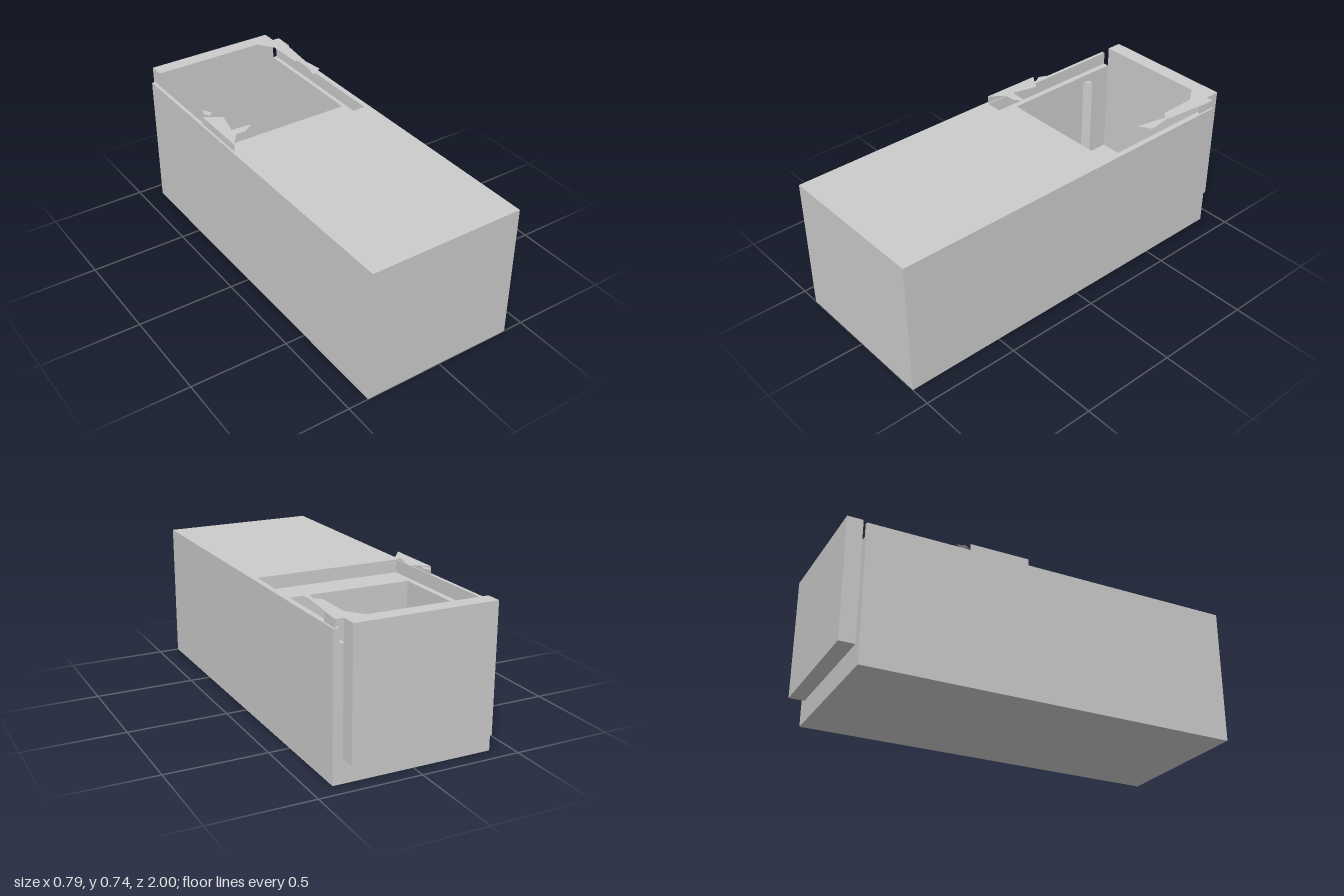
import * as THREE from 'three';

export function createModel() {
  const model = new THREE.Group();
  const solid = new THREE.MeshStandardMaterial({ color: 0xcccccc, flatShading: true });
  const sheet = new THREE.MeshStandardMaterial({ color: 0xcccccc, flatShading: true, side: THREE.DoubleSide });

  const add = (name, geometry, material = solid) => {
    const mesh = new THREE.Mesh(geometry, material);
    mesh.name = name;
    model.add(mesh);
    return mesh;
  };

  // Outline given as [x, z] pairs on the ground plane
  const plan = (points) => new THREE.Shape(points.map(([x, z]) => new THREE.Vector2(x, -z)));

  // Upright prism between two heights
  const prism = (name, points, y0, y1) => {
    const g = new THREE.ExtrudeGeometry(plan(points), { depth: y1 - y0, bevelEnabled: false });
    return add(name, g.rotateX(-Math.PI / 2).translate(0, y0, 0));
  };

  // Flat, thin piece at one height
  const flat = (name, points, y) =>
    add(name, new THREE.ShapeGeometry(plan(points)).rotateX(-Math.PI / 2).translate(0, y, 0), sheet);

  // Thin upright strip running along z
  const strip = (name, x, y0, y1, z0, z1) =>
    add(name, new THREE.PlaneGeometry(z1 - z0, y1 - y0).rotateY(Math.PI / 2)
      .translate(x, (y0 + y1) / 2, (z0 + z1) / 2), sheet);

  const L = -0.398, R = 0.395, F = 1, B = -0.922;
  const floorY = 0.115, ledgeY = 0.63, topY = 0.695, lidY = 0.735;

  // Body outline with a notch open to the back
  const notched = (x0, x1, z) => [[L, F], [R, F], [R, B], [x1, B], [x1, z], [x0, z], [x0, B], [L, B]];

  // Body: floor, compartment walls, and the wider stepped rim
  prism('bodyBase', [[L, F], [R, F], [R, B], [L, B]], 0, floorY);
  prism('bodyWalls', notched(-0.35, 0.345, -0.26), floorY, ledgeY);
  prism('bodyRim', notched(-0.38, 0.367, -0.1), ledgeY, topY);

  // Back panel closing the compartment
  prism('backPanel', [[-0.35, B], [0.347, B], [0.347, -1], [-0.35, -1]], floorY, lidY);

  // Post and low sill inside the compartment
  prism('innerPost', [[-0.342, -0.73], [-0.315, -0.77], [-0.342, -0.77]], floorY, 0.595);
  prism('innerSill', [[-0.33, -0.73], [0.345, -0.73], [0.345, -0.77], [-0.33, -0.77]], floorY, floorY + 0.04);

  // Remnants of the broken lid
  flat('lidShardRight', [[-0.385, -0.405], [-0.3, -0.35], [-0.33, -0.22], [-0.225, -0.215],
    [-0.28, -0.175], [-0.33, -0.175], [-0.388, -0.1]], lidY);
  flat('lidSliver', [[-0.35, -0.465], [-0.327, -0.42], [-0.348, -0.395], [-0.366, -0.425]], lidY);
  flat('lidShardLeft', [[0.245, B], [0.305, -0.84], [0.308, -0.65], [0.338, -0.625], [0.308, -0.465],
    [0.37, -0.5], [0.355, -0.61], [0.385, -0.9], [0.385, B]], lidY);
  strip('lidEdgeRight', -0.386, ledgeY, lidY, -0.408, -0.1);
  strip('lidEdgeLeft', 0.385, ledgeY, lidY, B, -0.82);

  return model;
}
